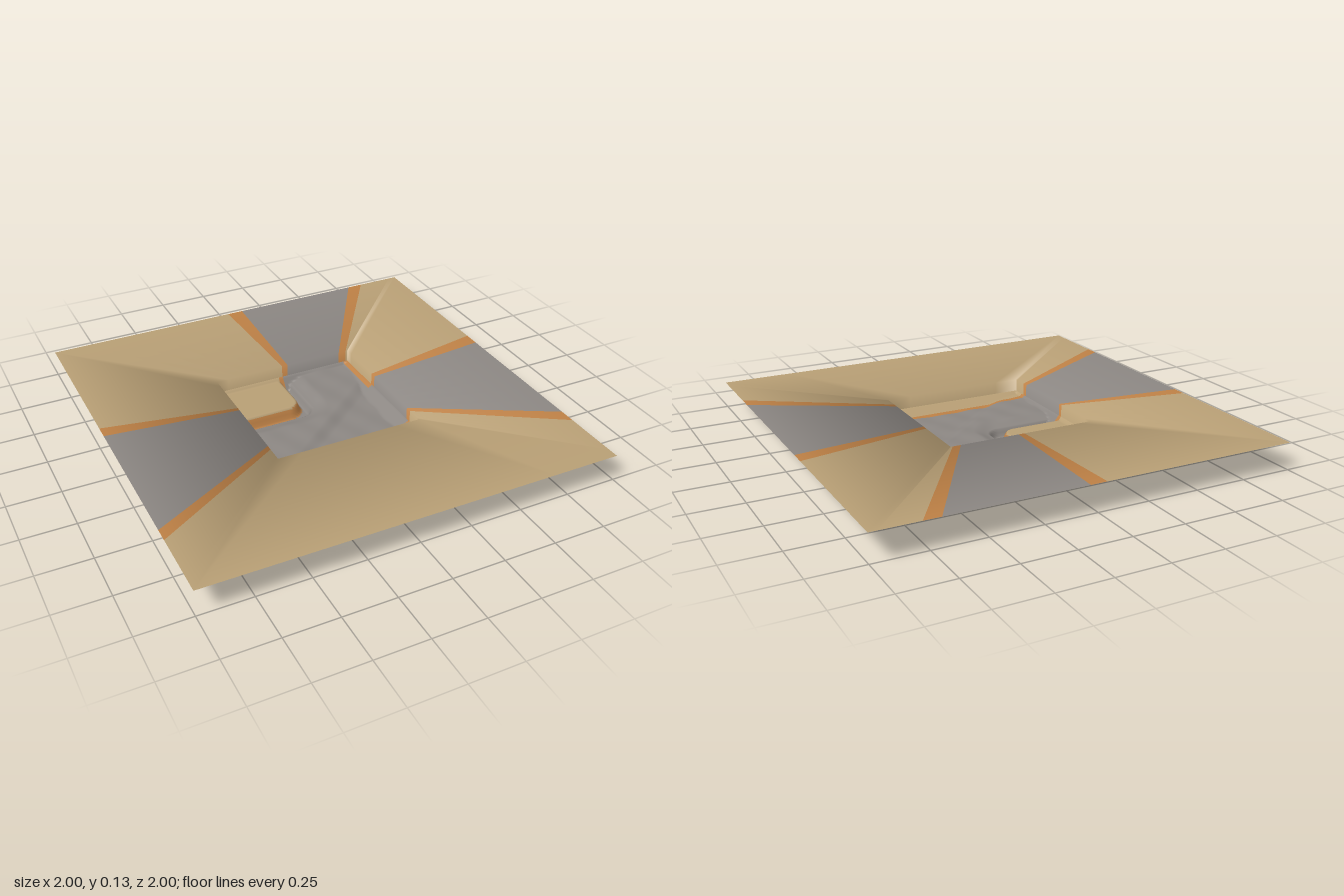
import * as THREE from 'three';

const RIM = 0.36, TOP = 0.13, LEDGE = 0.07;
const step = THREE.MathUtils.smoothstep;
const V = (x, y, z) => new THREE.Vector3(x, y, z);

// Collects smooth-shaded quads, one mesh per colour
class Surface {
  constructor(name) {
    this.name = name;
    this.data = {};
  }
  // a-b is the inner edge, c-d the outer edge; each corner is { p, n }
  quad(colour, a, b, c, d, flip) {
    const s = (this.data[colour] ??= { p: [], n: [] });
    const order = flip ? [a, c, b, b, c, d] : [a, b, c, b, d, c];
    for (const v of order) {
      s.p.push(v.p.x, v.p.y, v.p.z);
      s.n.push(v.n.x, v.n.y, v.n.z);
    }
  }
  build(materials) {
    const group = new THREE.Group();
    group.name = this.name;
    for (const [colour, s] of Object.entries(this.data)) {
      const g = new THREE.BufferGeometry();
      g.setAttribute('position', new THREE.Float32BufferAttribute(s.p, 3));
      g.setAttribute('normal', new THREE.Float32BufferAttribute(s.n, 3));
      const mesh = new THREE.Mesh(g, materials[colour]);
      mesh.name = `${this.name}_${colour}`;
      group.add(mesh);
    }
    return group;
  }
}

// Bands on each side: [inner end, outer end, colour], running from -x / -z
const SIDES = {
  back: [[-0.01, -0.04, 'sand'], [0.02, 0.04, 'clay'], [0.31, 0.7, 'rock'], [0.35, 0.78, 'clay'], [RIM, 1, 'sand']],
  right: [[-0.1, -0.22, 'sand'], [-0.07, -0.14, 'clay'], [0.25, 0.6, 'rock'], [0.28, 0.68, 'clay'], [RIM, 1, 'sand']],
  left: [[-0.1, -0.22, 'sand'], [-0.08, -0.15, 'clay'], [0.25, 0.6, 'rock'], [0.28, 0.67, 'clay'], [RIM, 1, 'sand']],
  front: [[RIM, 1, 'sand']],
};
const PLACE = {
  back: (t, r, y) => V(t, y, -r),
  front: (t, r, y) => V(t, y, r),
  left: (t, r, y) => V(-r, y, t),
  right: (t, r, y) => V(r, y, t),
};

// Rounded corner distance, negative towards the back left
const cornerDistance = (x, z, cx, cz, r) =>
  Math.hypot(Math.max(x - cx + r, 0), Math.max(z - cz + r, 0)) - r;
const padDistance = (x, z) => cornerDistance(x, z, -0.03, -0.1, 0.06);
const moatDistance = (x, z) => cornerDistance(x, z, 0, -0.05, 0.05);

// Basin height: raised pad, trench around it, rocky floor and sloping sides
function height(x, z) {
  const m = moatDistance(x, z);
  const u = 0.63 * x + 0.77 * z - 0.096;
  const ridge = 0.018 * (1 - step(u, -0.03, 0.04)) * step(m, 0.01, 0.1);
  const lumps = 0.003 * (1 + Math.sin(x * 31 + z * 12) * Math.sin(z * 27 - x * 9)) * step(m, 0.03, 0.1);
  const floor = 0.035 * step(m, 0, 0.025) + ridge + lumps;
  const pad = 0.055 * (1 - step(padDistance(x, z), -0.005, 0.025));
  const slope = Math.max(
    LEDGE - 1.4 * (RIM + Math.min(x, z)),
    LEDGE - 0.5 * (RIM - Math.max(x, z)),
  );
  return Math.min(LEDGE, Math.max(floor, pad, slope));
}

function floorColour(x, z) {
  const d = padDistance(x, z);
  if (d < 0 || z > 0.3) return 'sand';
  if (d < 0.025 || z > 0.27 || (x > 0.34 && z < -0.09)) return 'clay';
  return 'rock';
}

export function createModel() {
  const materials = {};
  for (const [name, color] of [['sand', 0xb89f75], ['clay', 0xbd8045], ['rock', 0x8b8682]]) {
    materials[name] = new THREE.MeshStandardMaterial({ color, side: THREE.DoubleSide });
    materials[name].name = name;
  }
  const plain = new Surface('plain');
  const wall = new Surface('basinWall');
  const basin = new Surface('basinFloor');

  // Flat surrounding plain and the short upright wall of the basin
  const up = V(0, 1, 0);
  for (const [side, bands] of Object.entries(SIDES)) {
    const place = PLACE[side];
    const flip = side === 'left' || side === 'front';
    const edge = (ti, to) => {
      const inward = place(0, -1, 0);
      // Corners share a diagonal normal with the neighbouring side
      if (Math.abs(ti) > RIM - 1e-6) inward.add(place(-Math.sign(ti), 0, 0)).normalize();
      return {
        outer: { p: place(to, 1, TOP), n: up },
        rim: { p: place(ti, RIM, TOP), n: inward.clone().add(up).normalize() },
        low: { p: place(ti, RIM, LEDGE), n: inward.clone().addScaledVector(up, 0.5).normalize() },
      };
    };
    let i0 = -RIM, o0 = -1;
    for (const [i1, o1, colour] of bands) {
      const parts = 6;
      for (let k = 0; k < parts; k++) {
        const at = (f) => edge(THREE.MathUtils.lerp(i0, i1, f), THREE.MathUtils.lerp(o0, o1, f));
        const a = at(k / parts), b = at((k + 1) / parts);
        plain.quad(colour, a.rim, b.rim, a.outer, b.outer, flip);
        wall.quad(colour, a.low, b.low, a.rim, b.rim, flip);
      }
      i0 = i1;
      o0 = o1;
    }
  }

  // Sculpted basin floor
  const N = 96, cell = (2 * RIM) / N, e = 0.006;
  const point = (i, j) => {
    const x = -RIM + i * cell, z = -RIM + j * cell;
    const n = V(height(x - e, z) - height(x + e, z), 2 * e, height(x, z - e) - height(x, z + e));
    return { p: V(x, height(x, z), z), n: n.normalize() };
  };
  for (let j = 0; j < N; j++) {
    for (let i = 0; i < N; i++) {
      const colour = floorColour(-RIM + (i + 0.5) * cell, -RIM + (j + 0.5) * cell);
      basin.quad(colour, point(i, j + 1), point(i + 1, j + 1), point(i, j), point(i + 1, j), false);
    }
  }

  const model = new THREE.Group();
  model.name = 'canyonTerrain';
  model.add(plain.build(materials), wall.build(materials), basin.build(materials));
  return model;
}
